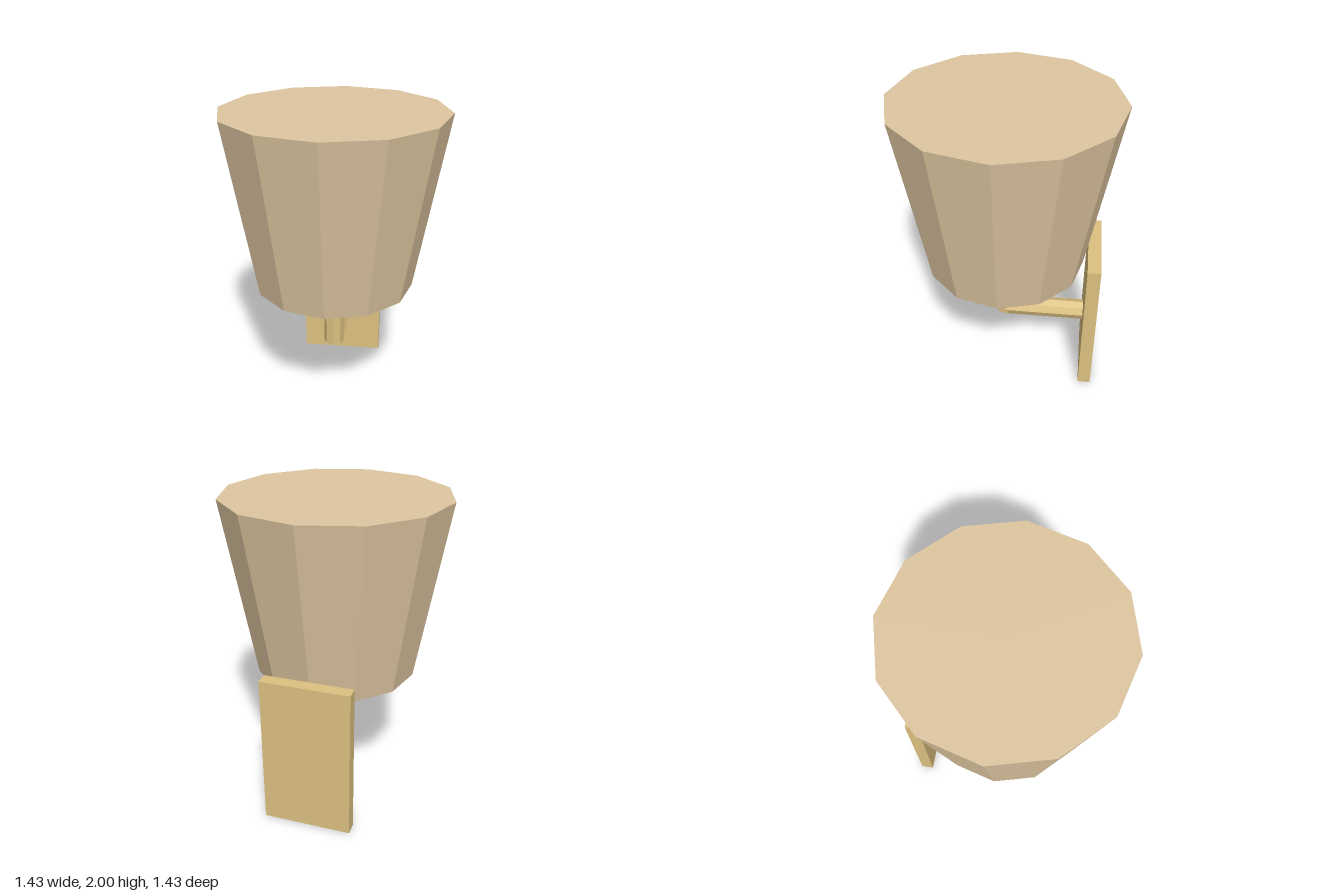
import * as THREE from 'three';

export function createModel() {
  const model = new THREE.Group();
  model.name = 'wallLamp';

  const material = (name, color) => {
    const m = new THREE.MeshStandardMaterial({ color, flatShading: true });
    m.name = name;
    return m;
  };
  const fabric = material('beige shade', 0xdec6a0);
  const brass = material('brass', 0xdcc080);

  const add = (name, geometry, mat, x, y, z) => {
    const mesh = new THREE.Mesh(geometry, mat);
    mesh.name = name;
    mesh.position.set(x, y, z);
    model.add(mesh);
    return mesh;
  };

  // Twelve-sided closed shade, wider at the top
  add('shade', new THREE.CylinderGeometry(0.713, 0.515, 1.14, 12), fabric, 0, 1.43, 0);

  // Octagonal upright under the shade
  add('stem', new THREE.CylinderGeometry(0.068, 0.068, 0.48, 8), brass, 0, 0.64, 0);

  // Octagonal arm reaching back to the wall
  const arm = add('arm', new THREE.CylinderGeometry(0.068, 0.068, 0.56, 8), brass, 0, 0.43, -0.28);
  arm.rotation.x = Math.PI / 2;

  // Flat wall plate
  add('wallPlate', new THREE.BoxGeometry(0.57, 1, 0.085), brass, 0, 0.5, -0.583);

  return model;
}
